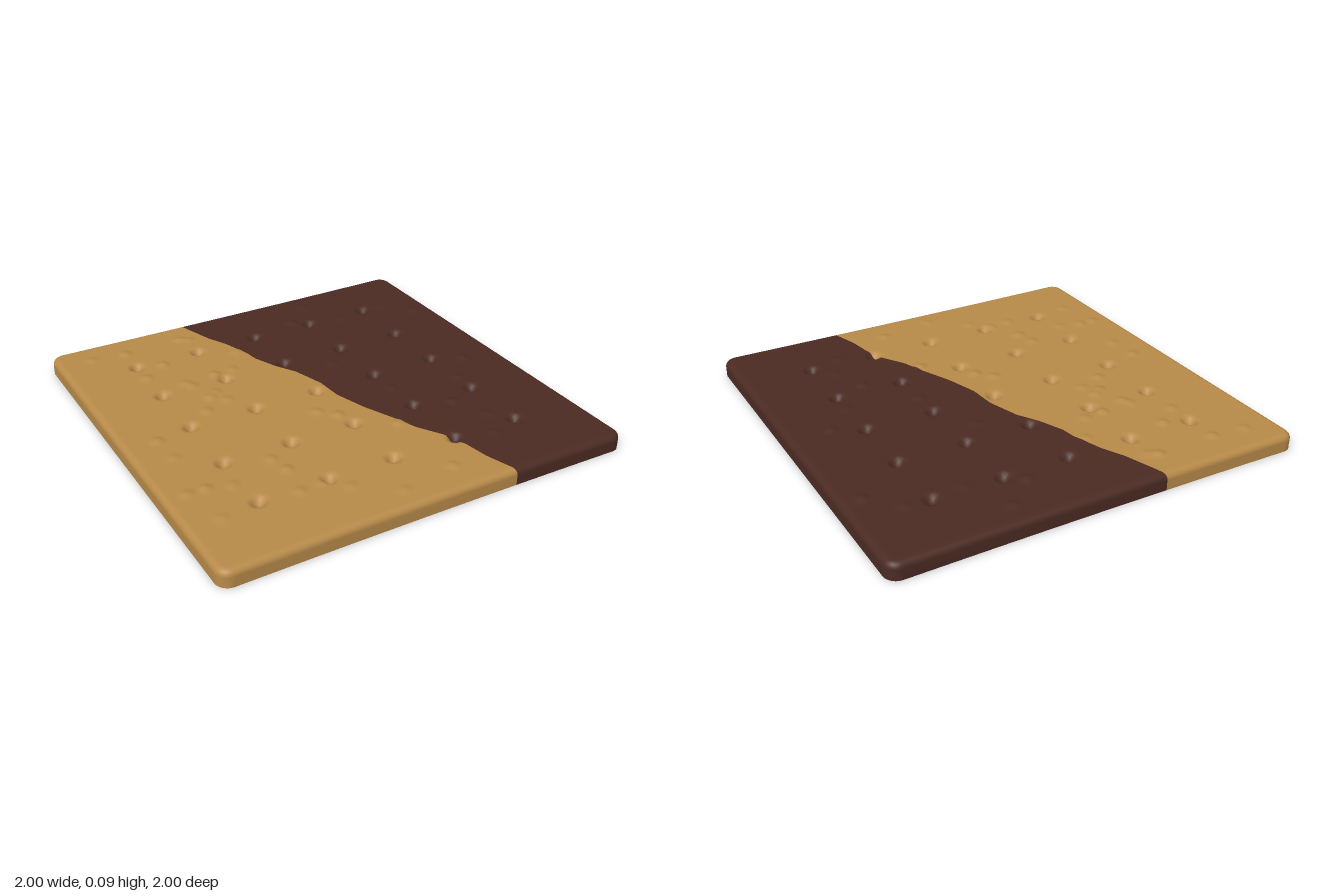
import * as THREE from 'three';

const CORE = 0.94;      // half width inside the rounded corners
const FLAT = 0.03;      // flat strip before the rim starts to bend
const RIM = 0.03;       // rim bend radius
const TOP = 0.078;      // height of the flat top
const ARC = RIM * Math.PI / 2;
const SKIRT = FLAT + ARC + (TOP - RIM);

// x, z of the line where the coating ends, from back to front
const BORDER = [[-0.29, -1], [-0.27, -0.93], [-0.22, -0.78], [-0.17, -0.68], [-0.12, -0.53],
  [-0.11, -0.46], [-0.06, -0.34], [0, -0.24], [0.05, -0.08], [0.06, 0.06], [0.11, 0.22],
  [0.18, 0.38], [0.22, 0.49], [0.3, 0.62], [0.33, 0.72], [0.35, 0.84], [0.4, 1]];

// x, z of the small blisters
const BLISTERS = [[-.83, -.85], [-.66, -.83], [-.36, -.84], [-.32, -.82], [-.66, -.54], [-.54, -.63],
  [-.52, -.4], [-.5, -.36], [-.36, -.41], [-.26, -.42], [-.43, -.25], [-.47, -.22], [-.41, -.16],
  [-.54, -.11], [-.84, .02], [-.83, .18], [-.89, .46], [-.81, .46], [-.7, .49], [-.47, .4],
  [-.45, .5], [-.84, .68], [-.48, .67], [-.36, .66], [-.28, .74], [-.1, .15], [-.03, .22],
  [-.1, .88], [.18, .83], [.17, .42], [-.16, -.57], [.39, -.87], [.24, -.73], [.5, -.65],
  [.77, -.66], [.9, -.53], [.2, -.22], [.32, .13], [.5, .38], [.57, .55], [.66, .2], [.8, .05], [.5, .7]];

// 5 x 5 docking holes
const HOLES = [];
for (const x of [-0.66, -0.33, -0.005, 0.32, 0.655])
  for (const z of [-0.67, -0.345, -0.02, 0.32, 0.65]) HOLES.push([x, z]);

function borderX(z) {
  const c = THREE.MathUtils.clamp(z, -1, 1);
  let i = 1;
  while (i < BORDER.length - 1 && BORDER[i][1] < c) i++;
  const [x0, z0] = BORDER[i - 1], [x1, z1] = BORDER[i];
  return x0 + (x1 - x0) * (c - z0) / (z1 - z0);
}

// Smooth bell, 1 at the centre and 0 at radius r
function bell(x, z, [cx, cz], r) {
  const d = ((x - cx) ** 2 + (z - cz) ** 2) / (r * r);
  return d < 1 ? (1 - d) ** 2 : 0;
}

function relief(x, z) {
  let y = 0;
  for (const h of HOLES) y -= 0.032 * bell(x, z, h, 0.048);
  BLISTERS.forEach((b, i) => { y += (0.007 + 0.002 * (i % 3)) * bell(x, z, b, 0.042); });
  return y;
}

// Folds a flat sheet coordinate over the rim and down the wall
function fold(u, v) {
  const qx = THREE.MathUtils.clamp(u, -CORE, CORE), qz = THREE.MathUtils.clamp(v, -CORE, CORE);
  const ox = u - qx, oz = v - qz;
  const m = Math.max(Math.abs(ox), Math.abs(oz)), len = Math.hypot(ox, oz) || 1;
  let out = m, y = TOP;
  if (m > FLAT) {
    const a = Math.min((m - FLAT) / RIM, Math.PI / 2);
    out = FLAT + RIM * Math.sin(a);
    y = TOP - RIM * (1 - Math.cos(a)) - Math.max(0, m - FLAT - ARC);
  }
  const x = qx + ox / len * out, z = qz + oz / len * out;
  if (m <= FLAT) y += relief(x, z);
  // slight inward bow of the front and back edges
  const bow = 1 - 0.008 * Math.abs(z) ** 6 * (1 - x * x);
  return [x, Math.max(0, y), z * bow];
}

// Sheet coordinates across the skirt, from the core edge outwards
const skirt = [];
for (let i = 1; i <= 3; i++) skirt.push(CORE + FLAT * i / 3);
for (let i = 1; i <= 6; i++) skirt.push(CORE + FLAT + ARC * i / 6);
skirt.push(CORE + SKIRT);

const rows = skirt.map(s => -s).reverse();
for (let i = 0; i <= 150; i++) rows.push(-CORE + 2 * CORE * i / 150);
rows.push(...skirt);

// One half of the shell, between the border line and the left or right wall
function halfShell(side) {
  const N = 95, pos = [], index = [];
  const cols = N + 1 + skirt.length;
  for (const v of rows) {
    const b = borderX(v), line = [];
    for (let i = 0; i <= N; i++) line.push(b + (side * CORE - b) * i / N);
    line.push(...skirt.map(s => side * s));
    if (side < 0) line.reverse();
    for (const u of line) pos.push(...fold(u, v));
  }
  for (let j = 0; j < rows.length - 1; j++) {
    for (let i = 0; i < cols - 1; i++) {
      const a = j * cols + i, b = a + 1, c = a + cols, d = c + 1;
      index.push(a, c, b, b, c, d);
    }
  }
  const g = new THREE.BufferGeometry();
  g.setAttribute('position', new THREE.Float32BufferAttribute(pos, 3));
  g.setIndex(index);
  g.computeVertexNormals();
  return g;
}

export function createModel() {
  const group = new THREE.Group();
  group.name = 'cracker';
  const addHalf = (name, side, matName, color) => {
    const mat = new THREE.MeshStandardMaterial({ color, side: THREE.DoubleSide });
    mat.name = matName;
    const mesh = new THREE.Mesh(halfShell(side), mat);
    mesh.name = name;
    group.add(mesh);
  };
  addHalf('plainHalf', -1, 'biscuit', 0xb88a49);
  addHalf('coatedHalf', 1, 'chocolate', 0x4b2b23);
  return group;
}
